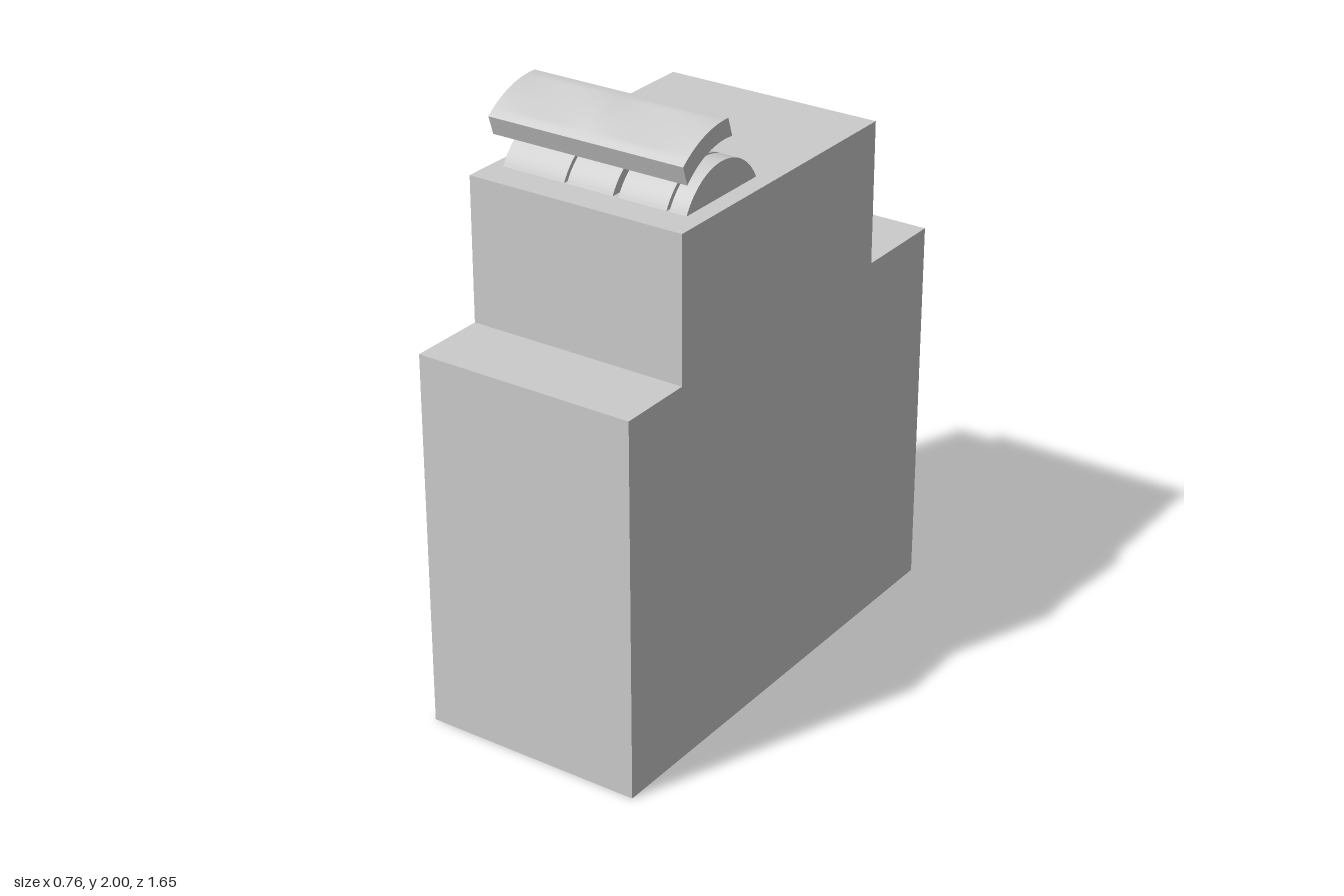
import * as THREE from 'three';
import { toCreasedNormals } from 'three/addons/utils/BufferGeometryUtils.js';

const grey = new THREE.MeshStandardMaterial({ color: 0xcccccc });
const PIVOT_Y = 1.668, PIVOT_Z = 0.27, DRUM_R = 0.202;

function addMesh(parent, geometry, name) {
  const mesh = new THREE.Mesh(geometry, grey);
  mesh.name = name;
  parent.add(mesh);
  return mesh;
}

// Extrudes a (z, y) side profile across the width from x0 to x1
function sideExtrude(shape, x0, x1) {
  const g = new THREE.ExtrudeGeometry(shape, { depth: x1 - x0, bevelEnabled: false, curveSegments: 32 });
  g.rotateY(-Math.PI / 2);
  g.translate(x1, 0, 0);
  return toCreasedNormals(g, Math.PI / 6);
}

// Thumb bar: a box bent round the pivot, with two shallow dents on top
function thumbBarGeometry() {
  const width = 0.695, half = width / 2, seam = -width / 40;
  const g = new THREE.BoxGeometry(width, 1, 0.24, 40, 1, 24);
  const p = g.attributes.position;
  for (let i = 0; i < p.count; i++) {
    const x = p.getX(i), z = p.getZ(i), top = p.getY(i) > 0;
    const s = x < seam ? (x + half) / (seam + half) : (x - seam) / (half - seam);
    const across = Math.max(0, 1 - (z / 0.09) ** 2);
    const dent = 0.012 * Math.sin(Math.PI * s) * across;
    const r = top ? 0.332 : 0.272;
    p.setY(i, Math.sqrt(r * r - z * z) - (top ? dent : 0));
  }
  g.computeVertexNormals();
  return g;
}

export function createModel() {
  const model = new THREE.Group();
  model.name = 'circuitBreaker';

  // Stepped housing
  const profile = new THREE.Shape([
    [-0.825, 0], [0.825, 0], [0.825, 1.28], [0.56, 1.28],
    [0.56, 1.76], [-0.49, 1.76], [-0.49, 1.28], [-0.825, 1.28],
  ].map(([z, y]) => new THREE.Vector2(z, y)));
  addMesh(model, sideExtrude(profile, -0.38, 0.38), 'housing');

  // Row of rounded drums rising from the top
  const a = Math.asin((1.755 - PIVOT_Y) / DRUM_R);
  const hump = new THREE.Shape();
  hump.absarc(PIVOT_Z, PIVOT_Y, DRUM_R, a, Math.PI - a, false);
  hump.closePath();
  const drums = new THREE.Group();
  drums.name = 'drums';
  model.add(drums);
  [[-0.34, -0.115], [-0.105, 0.06], [0.08, 0.25], [0.26, 0.32]].forEach(([x0, x1], i) =>
    addMesh(drums, sideExtrude(hump, x0, x1), `drum${i + 1}`));

  // Tilted lever: two stems carrying the thumb bar
  const lever = new THREE.Group();
  lever.name = 'lever';
  lever.position.set(0, PIVOT_Y, PIVOT_Z);
  lever.rotation.x = THREE.MathUtils.degToRad(18.5);
  model.add(lever);
  for (const [x, name] of [[-0.2, 'rightStem'], [0.165, 'leftStem']]) {
    addMesh(lever, new THREE.BoxGeometry(0.17, 0.11, 0.115), name).position.set(x, 0.225, 0);
  }
  addMesh(lever, thumbBarGeometry(), 'thumbBar').position.x = -0.0175;

  return model;
}
